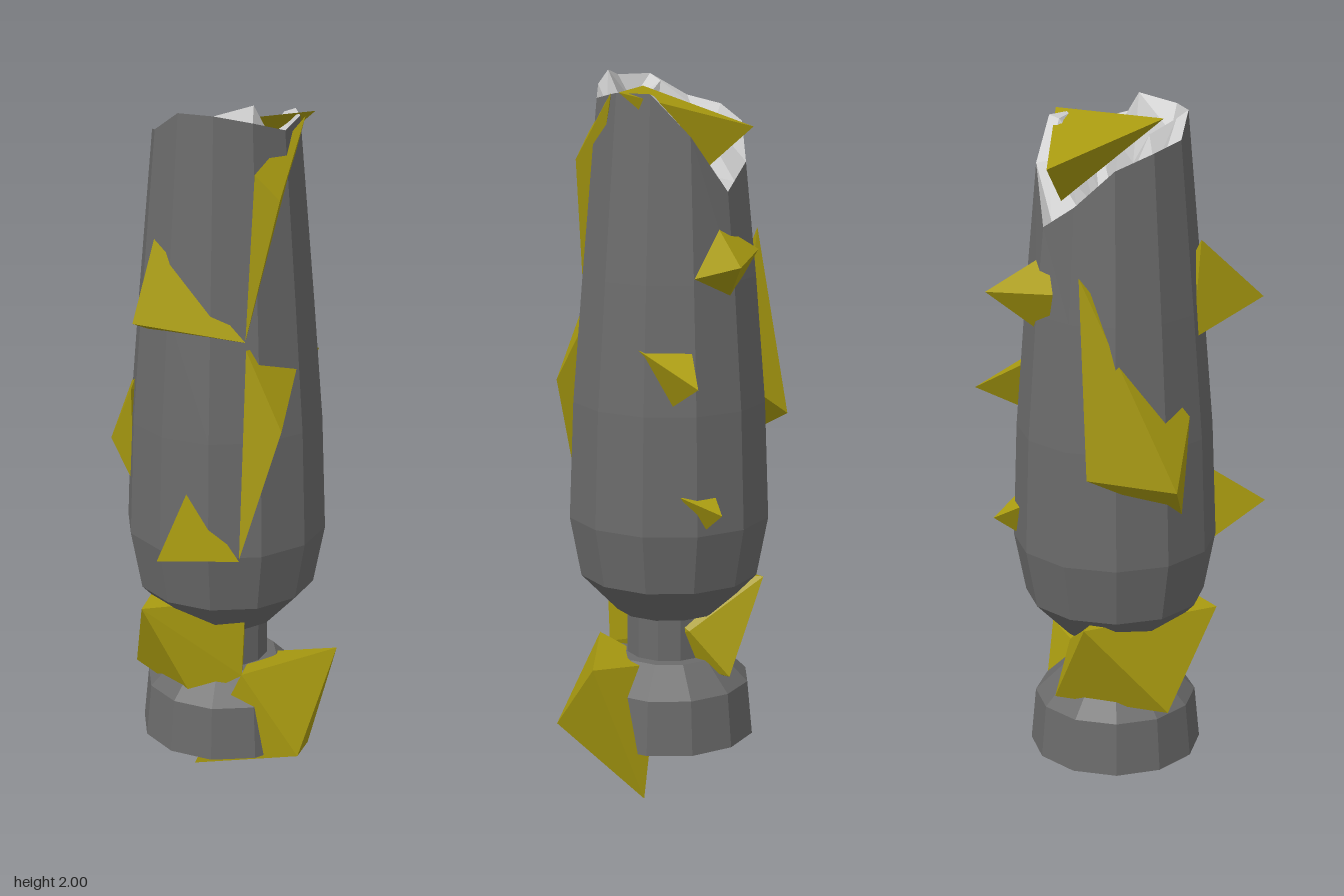
import * as THREE from 'three';
import { ConvexGeometry } from 'three/addons/geometries/ConvexGeometry.js';

const SIDES = 12;
const CX = 0.005, CZ = -0.045;

const stone = new THREE.MeshStandardMaterial({ color: 0x6a6a6a, flatShading: true, side: THREE.DoubleSide });
const brokenStone = new THREE.MeshStandardMaterial({ color: 0xcccccc, flatShading: true, side: THREE.DoubleSide });
const crystal = new THREE.MeshStandardMaterial({ color: 0xa89a10, flatShading: true });

// Height of the broken rim, going round from the front towards +x
const RIM = [1.98, 1.96, 1.93, 1.95, 1.95, 1.84, 1.69, 1.76, 1.86, 1.9, 1.92, 1.98];
const rimRadius = (y) => 0.225 - (y - 1.6) * 0.07;

function seeded(seed) {
  return () => {
    seed = (seed * 16807) % 2147483647;
    return seed / 2147483647;
  };
}

function addMesh(group, name, geometry, material) {
  const mesh = new THREE.Mesh(geometry, material);
  mesh.name = name;
  group.add(mesh);
  return mesh;
}

function lathe(profile) {
  return new THREE.LatheGeometry(profile.map(([r, y]) => new THREE.Vector2(r, y)), SIDES);
}

// Tapered body whose last ring follows the broken rim
function bodyGeometry() {
  const profile = [[0, 0.49], [0.15, 0.49], [0.255, 0.6], [0.287, 0.77], [0.274, 1.1], [0.245, 1.45], [0.2, 2]];
  const geometry = lathe(profile);
  const pos = geometry.attributes.position;
  const n = profile.length;
  for (let i = 0; i <= SIDES; i++) {
    const y = RIM[i % SIDES];
    const a = (i / SIDES) * Math.PI * 2;
    const r = rimRadius(y);
    pos.setXYZ(i * n + n - 1, r * Math.sin(a), y, r * Math.cos(a));
  }
  return geometry;
}

// Rough, slightly hollow fracture surface inside the rim
function fractureGeometry() {
  const random = seeded(17);
  const rings = [1, 0.84, 0.55, 0.25];
  const position = [];
  const index = [];
  rings.forEach((f, k) => {
    for (let i = 0; i < SIDES; i++) {
      const a = ((i + (k ? (random() - 0.5) * 0.5 : 0)) / SIDES) * Math.PI * 2;
      const r = rimRadius(RIM[i]) * f;
      let y = RIM[i] * f + 1.74 * (1 - f);
      if (k) y += (random() - 0.6) * 0.09;
      if (k === 1 && i === 1) y = 2; // single splinter above the rim
      position.push(r * Math.sin(a), y, r * Math.cos(a));
    }
  });
  const centre = rings.length * SIDES;
  position.push(0, 1.73, 0);
  for (let k = 0; k < rings.length; k++) {
    for (let i = 0; i < SIDES; i++) {
      const j = (i + 1) % SIDES;
      const a = k * SIDES + i, b = k * SIDES + j;
      if (k === rings.length - 1) index.push(a, b, centre);
      else index.push(a, b, b + SIDES, a, b + SIDES, a + SIDES);
    }
  }
  const geometry = new THREE.BufferGeometry();
  geometry.setAttribute('position', new THREE.Float32BufferAttribute(position, 3));
  geometry.setIndex(index);
  geometry.computeVertexNormals();
  return geometry;
}

// Corner points of each crystal shard
const SHARDS = {
  topCrystal: [[-0.065, 1.86, -0.29], [0.24, 1.955, -0.09], [-0.03, 1.95, 0.09], [0.02, 1.75, -0.2]],
  upperFrontSpike: [[-0.16, 1.64, 0.13], [-0.18, 1.46, 0.323], [-0.185, 1.375, 0.09], [0.1, 1.385, 0.2], [-0.05, 1.45, 0.1]],
  lowerFrontSpike: [[-0.055, 0.96, 0.2], [-0.107, 0.82, 0.395], [-0.135, 0.755, 0.2], [0.09, 0.765, 0.235], [0, 0.8, 0.15]],
  upperSideSplinter: [[0.22, 1.95, -0.04], [0.115, 1.83, 0.155], [0.18, 1.76, 0.14], [0.1, 1.39, 0.2], [0.12, 1.8, 0.08]],
  lowerSideSplinter: [[0.1, 1.36, 0.19], [0.235, 1.36, 0.03], [0.2, 1.14, 0.205], [0.09, 0.77, 0.235], [0.15, 1.2, 0.08]],
  leftLongCrystal: [[-0.14, 1.58, -0.24], [-0.235, 1.05, -0.275], [-0.33, 1, -0.05],
    [-0.25, 1.18, 0.04], [-0.25, 0.89, 0.02], [-0.12, 1.15, -0.2]],
  backUpperSpike: [[0.095, 1.51, -0.395], [0.03, 1.61, -0.24], [-0.09, 1.53, -0.29], [0.13, 1.46, -0.23], [0, 1.39, -0.26]],
  backMiddleSpike: [[0.225, 1.2, -0.367], [0.13, 1.28, -0.25], [0.235, 1.28, -0.15], [0.18, 1.12, -0.22]],
  backSmallSpike: [[0.13, 0.84, -0.367], [0.08, 0.88, -0.29], [0.18, 0.88, -0.26], [0.12, 0.78, -0.29]],
  neckCrystal: [[-0.2, 0.57, 0.17], [-0.17, 0.58, -0.25], [-0.26, 0.31, -0.03], [0.09, 0.6, 0.12],
    [0.08, 0.36, 0.12], [0.05, 0.45, -0.17], [-0.06, 0.28, 0.13], [-0.02, 0.32, -0.26]],
  baseCrystal: [[0.33, 0.38, -0.07], [0.25, 0.14, 0.165], [0.235, 0.005, -0.175],
    [-0.06, 0.06, 0.11], [0.085, 0.38, 0.155], [0.08, 0.34, -0.08]],
};

export function createModel() {
  const model = new THREE.Group();
  model.name = 'brokenPillar';

  // Stone pillar: foot, neck, body and fracture
  const pillar = new THREE.Group();
  pillar.name = 'pillar';
  pillar.position.set(CX, 0, CZ);
  addMesh(pillar, 'foot', lathe([[0, 0.125], [0.247, 0.125], [0.232, 0.28], [0.15, 0.36], [0, 0.37]]), stone);
  addMesh(pillar, 'neck', lathe([[0.122, 0.34], [0.122, 0.5]]), stone);
  addMesh(pillar, 'body', bodyGeometry(), stone);
  addMesh(pillar, 'fracture', fractureGeometry(), brokenStone);
  model.add(pillar);

  // Crystals growing out of the stone
  const crystals = new THREE.Group();
  crystals.name = 'crystals';
  for (const [name, points] of Object.entries(SHARDS)) {
    addMesh(crystals, name, new ConvexGeometry(points.map((p) => new THREE.Vector3(...p))), crystal);
  }
  model.add(crystals);

  return model;
}
